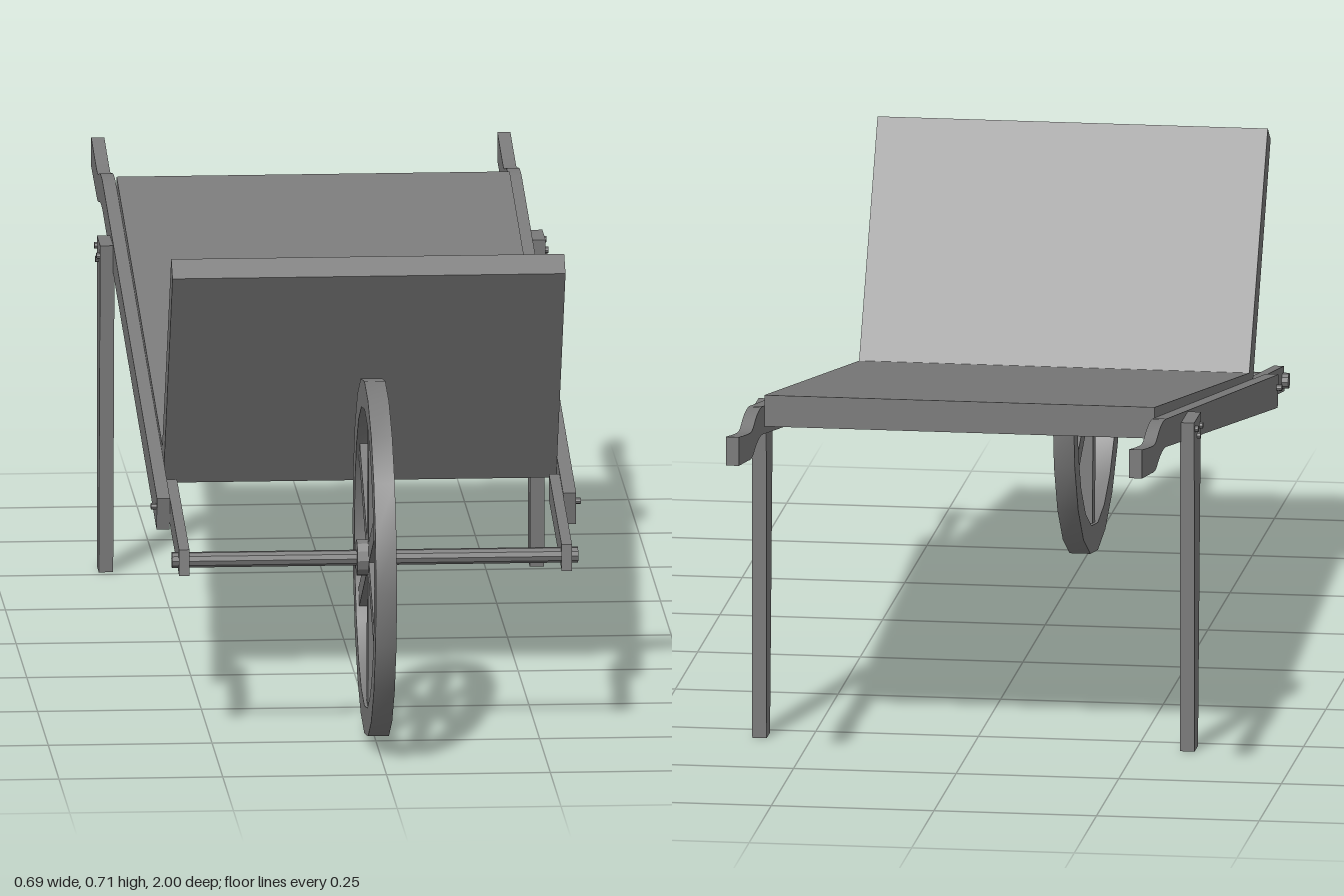
import * as THREE from 'three';
import { toCreasedNormals } from 'three/addons/utils/BufferGeometryUtils.js';

const material = new THREE.MeshStandardMaterial({ color: 0x7a7a7a });

function part(parent, name, geometry) {
  const mesh = new THREE.Mesh(toCreasedNormals(geometry, 0.5), material);
  mesh.name = name;
  parent.add(mesh);
  return mesh;
}

// Side outline given as [z, y] points, extruded across x from xa to xb
function sideProfile(points, xa, xb) {
  const shape = new THREE.Shape(points.map(([z, y]) => new THREE.Vector2(z, y)));
  return new THREE.ExtrudeGeometry(shape, { depth: Math.abs(xb - xa), bevelEnabled: false })
    .rotateY(-Math.PI / 2)
    .translate(Math.max(xa, xb), 0, 0);
}

// Cylinder lying along x
function crossRod(radius, xa, xb, y, z, sides) {
  return new THREE.CylinderGeometry(radius, radius, Math.abs(xb - xa), sides)
    .rotateZ(Math.PI / 2)
    .translate((xa + xb) / 2, y, z);
}

function smooth(points) {
  return new THREE.SplineCurve(points.map(([z, y]) => new THREE.Vector2(z, y)))
    .getPoints(16).map((p) => [p.x, p.y]);
}

function createWheel() {
  const wheel = new THREE.Group();
  wheel.name = 'wheel';
  const outer = 0.274, inner = 0.231, half = 0.016;
  const section = [[inner, -half], [outer, -half], [outer, half], [inner, half], [inner, -half]]
    .map(([r, h]) => new THREE.Vector2(r, h));
  part(wheel, 'rim', new THREE.LatheGeometry(section, 20).rotateZ(Math.PI / 2));
  part(wheel, 'hub', crossRod(0.028, -0.028, 0.028, 0, 0, 12));
  for (let i = 0; i < 6; i++) {
    const spoke = part(wheel, 'spoke', new THREE.BoxGeometry(0.022, 0.22, 0.03).translate(0, 0.125, 0));
    spoke.rotation.x = THREE.MathUtils.degToRad(60 * i + 3);
  }
  wheel.position.set(0, 0.281, 0.727);
  return wheel;
}

export function createModel() {
  const model = new THREE.Group();
  model.name = 'wheelbarrow';

  // Sloping bed and leaning front board, mitred where they meet
  part(model, 'bed', sideProfile([[-0.713, 0.525], [0.375, 0.327], [0.352, 0.38], [-0.713, 0.574]], -0.3, 0.3));
  part(model, 'frontBoard', sideProfile([[0.375, 0.327], [0.592, 0.69], [0.56, 0.714], [0.352, 0.38]], -0.3, 0.3));

  // Wheel and axle
  model.add(createWheel());
  part(model, 'axle', crossRod(0.012, -0.31, 0.31, 0.281, 0.727, 10));

  // Rail outline ending in a wavy handle
  const handleTop = smooth([[-0.7, 0.555], [-0.75, 0.563], [-0.8, 0.561], [-0.85, 0.55], [-0.91, 0.558], [-1, 0.575]]);
  const handleBottom = smooth([[-1, 0.53], [-0.91, 0.516], [-0.85, 0.508], [-0.8, 0.517], [-0.75, 0.519], [-0.7, 0.511]]);
  const railOutline = [[0.535, 0.336], ...handleTop, ...handleBottom, [0.525, 0.286]];

  for (const s of [1, -1]) {
    const side = new THREE.Group();
    side.name = s > 0 ? 'leftSide' : 'rightSide';
    model.add(side);

    part(side, 'rail', sideProfile(railOutline, s * 0.3, s * 0.32));
    part(side, 'axleArm', sideProfile([[0.747, 0.26], [0.743, 0.3], [0.45, 0.348], [0.445, 0.308]], s * 0.284, s * 0.3));
    part(side, 'leg', sideProfile([[-0.485, 0.515], [-0.56, 0.515], [-0.556, 0], [-0.517, 0]], s * 0.318, s * 0.34));

    // Bolts through the leg top and the front of the rail
    for (const [z, y] of [[-0.497, 0.497], [-0.522, 0.487], [-0.547, 0.503]]) {
      part(side, 'legBolt', crossRod(0.005, s * 0.334, s * 0.345, y, z, 8));
    }
    part(side, 'railBolt', crossRod(0.005, s * 0.305, s * 0.328, 0.32, 0.515, 8));
  }

  return model;
}
